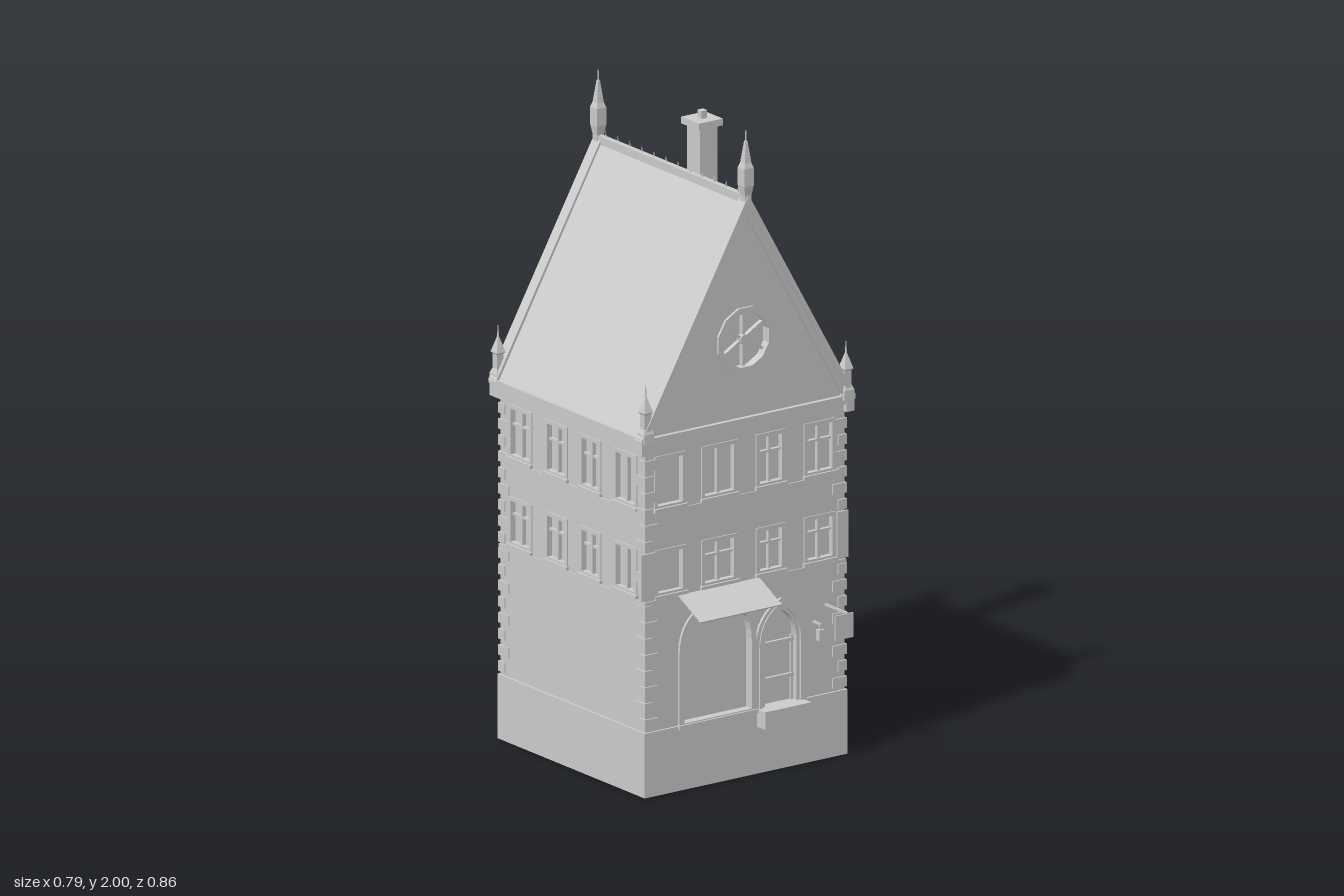
import * as THREE from 'three';

const mat = new THREE.MeshStandardMaterial({ color: 0xcccccc, flatShading: true, side: THREE.DoubleSide });
const X = 0.365, ZF = 0.318, ZB = -0.403, ZC = (ZF + ZB) / 2, T = 0.03;
const SILL = [0.295, 0.615, 0.885];

function add(parent, name, geo, x = 0, y = 0, z = 0) {
  const m = new THREE.Mesh(geo, mat);
  m.name = name;
  m.position.set(x, y, z);
  parent.add(m);
  return m;
}

// Box given by its limits
function box(parent, name, x0, x1, y0, y1, z0, z1) {
  return add(parent, name, new THREE.BoxGeometry(x1 - x0, y1 - y0, z1 - z0),
    (x0 + x1) / 2, (y0 + y1) / 2, (z0 + z1) / 2);
}

function polygon(points) {
  return new THREE.Shape(points.map(p => new THREE.Vector2(p[0], p[1])));
}

function slab(parent, name, shape, z0, z1, segments = 8) {
  const g = new THREE.ExtrudeGeometry(shape, { depth: z1 - z0, bevelEnabled: false, curveSegments: segments });
  return add(parent, name, g, 0, 0, z0);
}

// Pointed arch outline; k sets how full the shoulders are
function arch(x0, x1, y0, spring, peak, k) {
  const c = spring + (peak - spring) * k, mid = (x0 + x1) / 2;
  const s = new THREE.Shape();
  s.moveTo(x0, y0);
  s.lineTo(x1, y0);
  s.lineTo(x1, spring);
  s.quadraticCurveTo(x1, c, mid, peak);
  s.quadraticCurveTo(x0, c, x0, spring);
  s.closePath();
  return s;
}

function ring(outer, inner) {
  const s = polygon(outer.getPoints(8).map(p => [p.x, p.y]));
  s.holes.push(inner);
  return s;
}

// Frame, recessed pane, bars and sill of one window
function windowUnit(parent, { u, y, w, h, bars }) {
  const g = new THREE.Group();
  g.name = 'window';
  g.position.set(u, y, 0);
  parent.add(g);
  const a = w / 2, f = 0.009;
  const rect = (i) => polygon([[-a + i, i], [a - i, i], [a - i, h - i], [-a + i, h - i]]);
  slab(g, 'windowFrame', ring(rect(-0.003), rect(f)), -0.014, 0.004);
  box(g, 'windowPane', -a, a, 0, h, -0.022, -0.016);
  if (bars > 0) box(g, 'mullion', -0.004, 0.004, f, h - f, -0.016, -0.003);
  if (bars > 1) box(g, 'transom', -a + f, a - f, h * 0.62, h * 0.62 + 0.007, -0.016, -0.004);
  box(g, 'windowSill', -a - 0.007, a + 0.007, -0.008, 0.002, -0.01, 0.011);
}

// One outside wall facing local +z, pierced by its windows and other holes
function facade(parent, name, outline, windows, holes = []) {
  const g = new THREE.Group();
  g.name = name;
  parent.add(g);
  const shape = polygon(outline);
  for (const { u, y, w, h } of windows) {
    shape.holes.push(polygon([[u - w / 2, y], [u - w / 2, y + h], [u + w / 2, y + h], [u + w / 2, y]]));
  }
  shape.holes.push(...holes);
  slab(g, 'wall', shape, -T, 0);
  windows.forEach(w => windowUnit(g, w));
  return g;
}

function row(us, ws, level, h, bars) {
  return us.map((u, i) => ({ u, y: SILL[level], w: ws[i], h, bars: bars[i] }));
}

// Roof band following both slopes, cut level at the eaves
function chevron(apex, eaveX, eaveY, width) {
  const drop = width * (apex - eaveY) / eaveX;
  return polygon([[0, apex], [-eaveX, eaveY], [-eaveX + width, eaveY], [0, apex - drop],
    [eaveX - width, eaveY], [eaveX, eaveY]]);
}

// Square pinnacle from half-width and height pairs
function pinnacle(parent, name, x, z, profile) {
  const pts = profile.map(([r, y]) => new THREE.Vector2(r * Math.SQRT2, y));
  add(parent, name, new THREE.LatheGeometry(pts, 4, Math.PI / 4), x, 0, z);
}

export function createModel() {
  const model = new THREE.Group();
  model.name = 'townHouse';

  // Plinth, open underneath, and floor
  const pb = (x, z0, z1) => polygon([[-x, z0], [x, z0], [x, z1], [-x, z1]]);
  const plinth = slab(model, 'plinth', ring(pb(0.372, -0.325, 0.41), pb(0.366, -0.319, 0.404)), 0, 0.2);
  plinth.rotation.x = -Math.PI / 2;
  box(model, 'floor', -0.371, 0.371, 0.192, 0.2, -0.409, 0.324);

  // Front wall with gable, shop opening, door and wheel window
  const gable = [[-X, 0.2], [X, 0.2], [X, 1.11], [0, 1.755], [-X, 1.11]];
  const cols = [-0.275, -0.095, 0.093, 0.273], widths = [0.108, 0.125, 0.1, 0.11];
  const shop = (i) => arch(-0.245 + i, 0.038 - i, 0.2 + i * 0.3, 0.42, 0.575 - i, 0.85);
  const door = (i) => arch(0.035 + i, 0.223 - i, 0.2, 0.385, 0.528 - i, 0.72);
  const wheel = (r) => polygon(Array.from({ length: 12 }, (_, i) => {
    const a = (i + 0.5) * Math.PI / 6;
    return [r * Math.cos(a), 1.35 + r * Math.sin(a)];
  }));
  const front = facade(model, 'frontWall', gable, [
    ...row(cols, widths, 1, 0.14, [0, 2, 2, 2]),
    ...row(cols, widths, 2, 0.16, [0, 1, 2, 2])
  ], [shop(0.015), door(0.03), wheel(0.09)]);
  front.position.z = ZF;
  slab(front, 'shopArch', ring(shop(0), shop(0.018)), -0.02, 0.008);
  slab(front, 'shopPane', shop(0.01), -0.028, -0.022);
  box(front, 'shopSill', -0.248, 0.042, 0.19, 0.202, -0.01, 0.014);
  [[0, 0.014, 0.008], [0.012, 0.025, 0.012], [0.023, 0.036, 0.004]].forEach(([a, b, z]) =>
    slab(front, 'doorMoulding', ring(door(a), door(b)), -0.02, z));
  slab(front, 'doorLeaf', door(0.028), -0.028, -0.02);
  for (const y of [0.27, 0.38]) box(front, 'doorRail', 0.068, 0.19, y, y + 0.012, -0.02, -0.01);
  for (const x of [0.073, 0.178]) box(front, 'doorStile', x, x + 0.008, 0.2, 0.4, -0.02, -0.012);
  slab(front, 'wheelRim', ring(wheel(0.105), wheel(0.085)), -0.02, 0.008);
  slab(front, 'wheelPane', wheel(0.092), -0.028, -0.022);
  for (let i = 0; i < 3; i++) {
    const spoke = add(front, 'wheelSpoke', new THREE.BoxGeometry(0.18, 0.009, 0.014), 0, 1.35, -0.013);
    spoke.rotation.z = Math.PI / 6 + i * Math.PI / 3;
  }
  const hub = add(front, 'wheelHub', new THREE.CylinderGeometry(0.015, 0.015, 0.02, 12), 0, 1.35, -0.01);
  hub.rotation.x = Math.PI / 2;
  box(front, 'openShutter', -0.385, -0.335, 0.61, 0.755, 0.003, 0.009);
  box(front, 'openShutter', 0.333, 0.374, 0.61, 0.755, 0.003, 0.009);

  // Back and side walls
  const backRow = (l, b) => row([-0.24, 0, 0.24], [0.125, 0.105, 0.12], l, 0.16, b);
  const back = facade(model, 'backWall', gable, [0, 1, 2].flatMap(l => backRow(l, [2, 2, l ? 0 : 1])));
  back.position.z = ZB;
  back.rotation.y = Math.PI;
  const half = (ZF - ZB) / 2 - 0.002;
  const sideOutline = [[-half, 0.2], [half, 0.2], [half, 1.1], [-half, 1.1]];
  const left = facade(model, 'leftWall', sideOutline,
    row([-0.27, -0.08, 0.087, 0.27], [0.115, 0.118, 0.095, 0.11], 2, 0.16, [2, 2, 2, 1]));
  left.position.set(X, 0, ZC);
  left.rotation.y = Math.PI / 2;
  const right = facade(model, 'rightWall', sideOutline, [1, 2].flatMap(l =>
    row([-0.26, -0.08, 0.09, 0.265], [0.11, 0.105, 0.1, 0.11], l, l === 1 ? 0.145 : 0.16, [2, 2, 2, 1])));
  right.position.set(-X, 0, ZC);
  right.rotation.y = -Math.PI / 2;

  // String courses and corner stones
  for (const y of [0.592, 0.863]) {
    for (const s of [-1, 1]) {
      box(model, 'stringCourse', s * X - 0.004, s * X + 0.004, y, y + 0.012, ZB - 0.004, ZF + 0.004);
      const z = s > 0 ? ZF : ZB;
      box(model, 'stringCourse', -X, X, y, y + 0.012, z - 0.004, z + 0.004);
    }
  }
  for (const sx of [-1, 1]) for (const sz of [-1, 1]) {
    for (let i = 0; i < 17; i++) {
      const a = i % 2 ? 0.03 : 0.05, b = i % 2 ? 0.05 : 0.03;
      const ex = sx * (X + 0.005 - a / 2), ez = (sz > 0 ? ZF : ZB) + sz * (0.005 - b / 2);
      add(model, 'cornerStone', new THREE.BoxGeometry(a, 0.032, b), ex, 0.225 + i * 0.05, ez);
    }
  }

  // Roof, copings, cornices and gutters
  slab(model, 'roof', chevron(1.79, 0.383, 1.11, 0.022), -0.41, 0.325);
  for (const [z0, z1] of [[0.306, 0.332], [-0.422, -0.396]]) {
    slab(model, 'coping', chevron(1.8, 0.39, 1.11, 0.036), z0, z1);
    slab(model, 'copingRoll', chevron(1.803, 0.393, 1.11, 0.018), z0 - 0.006, z1 + 0.006);
    box(model, 'cornice', -0.385, 0.385, 1.085, 1.112, z0, z1);
  }
  for (const s of [-1, 1]) {
    box(model, 'gutter', s * 0.375 - 0.014, s * 0.375 + 0.014, 1.062, 1.112, -0.425, 0.335);
    box(model, 'gutterLip', s * 0.38 - 0.011, s * 0.38 + 0.011, 1.1, 1.116, -0.428, 0.338);
  }
  box(model, 'ridge', -0.009, 0.009, 1.775, 1.8, -0.41, 0.32);
  for (let i = 0; i < 12; i++) {
    add(model, 'ridgeSpike', new THREE.ConeGeometry(0.004, 0.03, 4), 0, 1.808, -0.375 + i * 0.06);
  }

  // Pinnacles on the gable tops and feet
  for (const z of [0.323, -0.413]) {
    pinnacle(model, 'topPinnacle', 0, z, [[0.012, 1.76], [0.012, 1.8], [0.017, 1.83], [0.017, 1.885],
      [0.012, 1.9], [0.004, 1.965], [0.002, 1.97], [0.001, 2]]);
    for (const s of [-1, 1]) {
      pinnacle(model, 'cornerPinnacle', s * 0.367, z, [[0.019, 1.1], [0.018, 1.13], [0.012, 1.145], [0.012, 1.19],
        [0.016, 1.195], [0.003, 1.24], [0.002, 1.245], [0.001, 1.278]]);
    }
  }

  // Chimney
  box(model, 'chimney', 0.244, 0.308, 1.235, 1.82, -0.302, -0.238);
  box(model, 'chimneyCap', 0.232, 0.32, 1.815, 1.836, -0.315, -0.226);
  box(model, 'chimneyPot', 0.266, 0.287, 1.836, 1.86, -0.281, -0.26);

  // Awning, doorstep, lantern and hanging sign
  const awning = add(model, 'awning', new THREE.BoxGeometry(0.297, 0.004, 0.124), -0.097, 0.575, 0.376);
  awning.rotation.x = Math.atan2(0.055, 0.11);
  box(model, 'doorstep', 0.04, 0.21, 0.145, 0.2, 0.3, 0.366);
  box(model, 'lanternArm', 0.249, 0.255, 0.427, 0.433, 0.315, 0.356);
  box(model, 'lanternHook', 0.25, 0.254, 0.41, 0.43, 0.35, 0.354);
  box(model, 'lantern', 0.243, 0.261, 0.38, 0.414, 0.343, 0.361);
  box(model, 'signArm', 0.292, 0.298, 0.472, 0.478, 0.315, 0.43);
  box(model, 'signBoard', 0.262, 0.328, 0.392, 0.468, 0.408, 0.413);
  return model;
}
